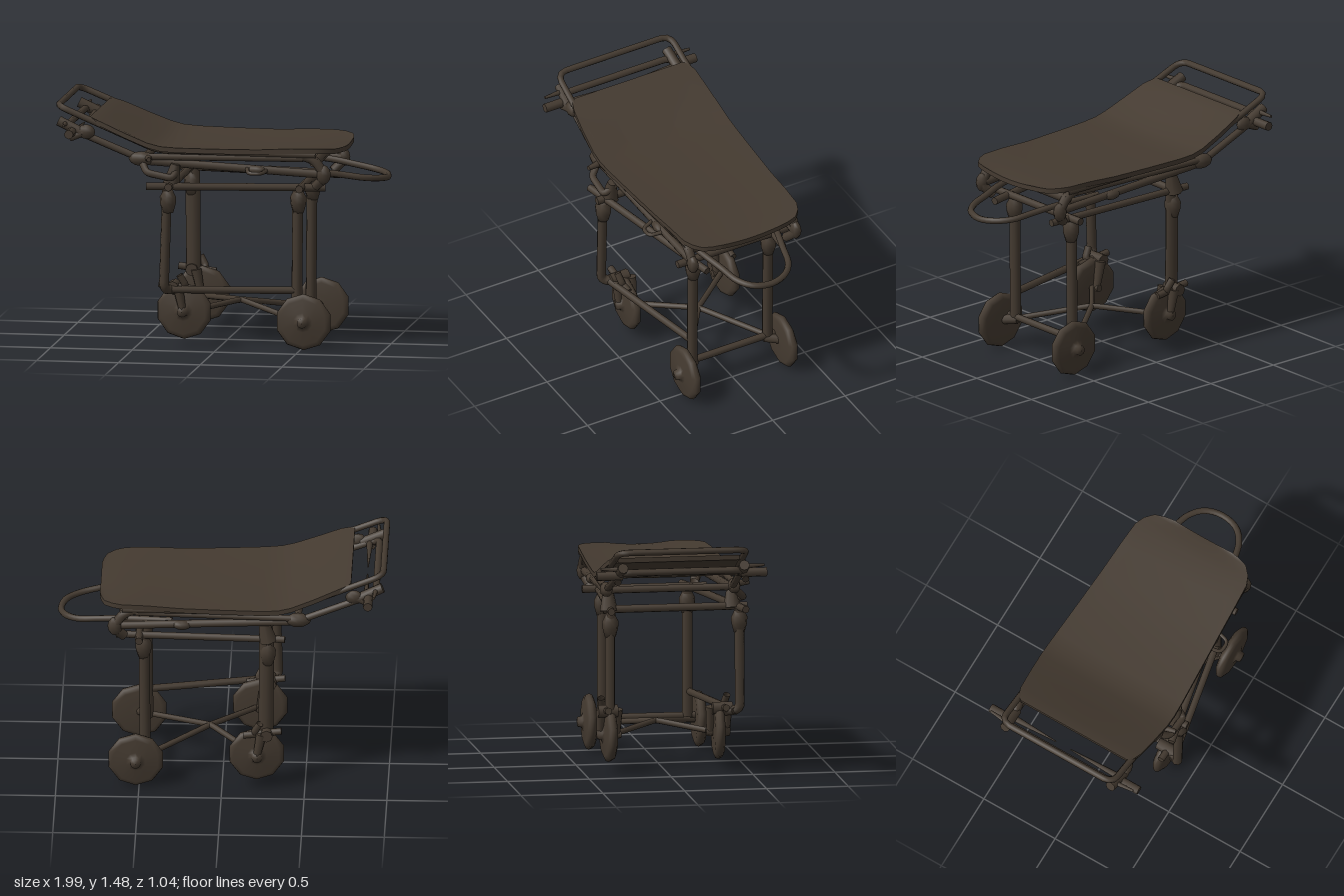
import * as THREE from 'three';

const brown = new THREE.MeshStandardMaterial({ color: 0x443a30, side: THREE.DoubleSide });
brown.name = 'dark brown';
const V = (p) => new THREE.Vector3(...p);

export function createModel() {
  const model = new THREE.Group();
  model.name = 'wheeledStretcher';

  const add = (name, geometry, pos = [0, 0, 0]) => {
    const mesh = new THREE.Mesh(geometry, brown);
    mesh.name = name;
    mesh.position.set(...pos);
    model.add(mesh);
    return mesh;
  };

  // Straight round bar between two points, optionally tapered
  const bar = (name, a, b, r, r2 = r) => {
    const from = V(a), to = V(b), dir = to.clone().sub(from);
    const mesh = add(name, new THREE.CylinderGeometry(r2, r, dir.length(), 8));
    mesh.position.copy(from).add(to).multiplyScalar(0.5);
    mesh.quaternion.setFromUnitVectors(new THREE.Vector3(0, 1, 0), dir.normalize());
    return mesh;
  };

  // Bent tube: straight runs with rounded corners
  const tube = (name, points, r, corner = 0.06, segments = 90) => {
    const p = points.map(V), path = new THREE.CurvePath();
    let last = p[0];
    for (let i = 1; i < p.length - 1; i++) {
      const toward = (q) => p[i].clone().add(q.clone().sub(p[i]).setLength(corner));
      const start = toward(p[i - 1]), end = toward(p[i + 1]);
      path.add(new THREE.LineCurve3(last, start));
      path.add(new THREE.QuadraticBezierCurve3(start, p[i], end));
      last = end;
    }
    path.add(new THREE.LineCurve3(last, p[p.length - 1]));
    return add(name, new THREE.TubeGeometry(path, segments, r, 8));
  };

  // Small rounded clamp
  const clamp = (name, pos, sx, sy, sz) => {
    const mesh = add(name, new THREE.SphereGeometry(1, 8, 6), pos);
    mesh.scale.set(sx, sy, sz);
    return mesh;
  };

  // Mattress stations: x, half width, top height
  const stations = [
    [-0.78, 0.37, 1.4], [-0.76, 0.4, 1.395], [-0.7, 0.42, 1.375], [-0.56, 0.435, 1.315],
    [-0.42, 0.445, 1.26], [-0.34, 0.445, 1.24], [-0.24, 0.44, 1.233], [0, 0.425, 1.23],
    [0.25, 0.41, 1.23], [0.45, 0.4, 1.24], [0.6, 0.39, 1.24], [0.66, 0.365, 1.238],
    [0.71, 0.32, 1.234], [0.73, 0.26, 1.232], [0.74, 0.2, 1.23],
  ];
  const n = stations.length - 1;
  const pad = new THREE.BoxGeometry(1, 1, 1, n, 1, 12);
  const pp = pad.attributes.position;
  for (let i = 0; i < pp.count; i++) {
    const [x, w, y] = stations[Math.round((pp.getX(i) + 0.5) * n)];
    const s = pp.getZ(i) * 2;
    // The head end stays level across, the middle sags a little
    const sag = 0.015 * (1 - s * s) * THREE.MathUtils.smoothstep(x, -0.75, -0.35);
    pp.setXYZ(i, x, y - sag - (pp.getY(i) > 0 ? 0 : 0.03), s * w);
  }
  pad.computeVertexNormals();
  add('mattress', pad);

  // Upper frame with raised head loop
  tube('headLoop', [
    [0.6, 1.2, 0.37], [-0.36, 1.21, 0.4], [-0.975, 1.465, 0.385],
    [-0.975, 1.465, -0.395], [-0.36, 1.21, -0.4], [0.6, 1.2, -0.37],
  ], 0.02, 0.07, 120);

  // Lower frame: head bar, side rails and foot loop
  tube('headBar', [
    [-0.46, 1.15, 0.38], [-0.93, 1.335, 0.36], [-0.93, 1.335, -0.38], [-0.46, 1.15, -0.39],
  ], 0.022);
  for (const s of [1, -1]) {
    bar('sideRail', [-0.5, 1.145, s * 0.385], [0.64, 1.08, s * 0.345], 0.025);
    bar('edgeRail', [-0.42, 1.17, s * 0.4], [0.52, 1.175, s * 0.36], 0.02);
    clamp('hingeClamp', [-0.46, 1.155, s * 0.39], 0.08, 0.045, 0.04);
    clamp('sideClamp', [0.24, 1.1, s * 0.37], 0.06, 0.03, 0.03);

    // Head handles with their thin locking rods
    bar('headHandle', [-0.885, 1.31, s * 0.36], [-0.885, 1.31, s * 0.52], 0.028);
    bar('handleGuard', [-0.93, 1.355, s * 0.36], [-0.92, 1.36, s * 0.5], 0.018, 0.008);
    bar('lockingRod', [-0.87, 1.31, s * 0.36], [-0.87, 1.31, s > 0 ? 0.03 : -0.07], 0.02, 0.004);
    bar('handleLink', [-0.97, 1.37, s * 0.37], [-0.82, 1.3, s * 0.38], 0.032);
    clamp('handleClamp', [-0.8, 1.31, s * 0.385], 0.055, 0.045, 0.03);
    bar('handleStrut', [-0.9, 1.27, s * 0.39], [-0.79, 1.315, s * 0.39], 0.022);

    // Foot bracket joining mattress frame and trolley
    tube('footBracket', [
      [0.48, 1.2, s * 0.35], [0.59, 1.17, s * 0.355], [0.66, 1.07, s * 0.355], [0.59, 1, s * 0.32],
    ], 0.03, 0.04, 24);
    clamp('footClamp', [0.645, 1.08, s * 0.355], 0.045, 0.06, 0.035);
  }
  const footPath = new THREE.CatmullRomCurve3([
    [0.3, 1.1, 0.31], [0.6, 1.08, 0.25], [0.74, 1.06, 0.21], [0.87, 1.04, 0.175], [0.95, 1.03, 0.11],
    [0.98, 1.022, 0],
    [0.95, 1.03, -0.11], [0.87, 1.04, -0.18], [0.74, 1.06, -0.215], [0.6, 1.08, -0.25], [0.3, 1.1, -0.31],
  ].map(V));
  add('footLoop', new THREE.TubeGeometry(footPath, 48, 0.02, 8));
  bar('upperCrossbar', [0.59, 1.155, 0.37], [0.59, 1.155, -0.37], 0.03);
  bar('middleCrossbar', [-0.46, 1.15, 0.38], [-0.46, 1.15, -0.38], 0.022);

  // Side lever and catch near the head hinge, and a small hook further down
  tube('sideLever', [[-0.46, 1.14, 0.39], [-0.42, 1.08, 0.455], [-0.26, 1.05, 0.46], [-0.24, 1.12, 0.38]], 0.022, 0.03, 24);
  bar('sideCatch', [-0.42, 1.16, 0.39], [-0.4, 1.165, 0.49], 0.024, 0.014);
  tube('sideHook', [[0.18, 1.11, 0.37], [0.2, 1.09, 0.45], [0.28, 1.09, 0.45], [0.3, 1.1, 0.37]], 0.012, 0.03, 20);

  // Trolley top frame
  bar('trolleyRail', [-0.42, 1.0, 0.47], [0.64, 0.985, 0.25], 0.023);
  bar('trolleyRail', [-0.38, 1.0, -0.345], [0.64, 0.985, -0.27], 0.023);
  bar('headCrossbar', [-0.28, 1.0, 0.5], [-0.28, 1.0, -0.38], 0.024);
  bar('footCrossbar', [0.5, 0.99, 0.38], [0.5, 0.99, -0.38], 0.024);
  for (const z of [0.41, -0.345]) {
    bar('headPivot', [-0.28, 0.99, z], [-0.25, 1.13, z], 0.055, 0.028);
  }

  // Legs with collars
  const collar = (x, y, z) => {
    const profile = [[0, -0.07], [0.033, -0.07], [0.048, -0.015], [0.05, 0.025], [0.034, 0.055], [0.03, 0.075], [0, 0.075]];
    add('legCollar', new THREE.LatheGeometry(profile.map((p) => new THREE.Vector2(...p)), 8), [x, y, z]);
  };
  for (const z of [0.257, -0.262]) {
    bar('footLeg', [0.465, 0.17, z], [0.472, 0.98, z], 0.033);
    collar(0.475, 0.9, z);
  }
  tube('headLeg', [[-0.295, 0.98, 0.45], [-0.315, 0.37, 0.45], [-0.23, 0.35, 0.32]], 0.03, 0.04, 40);
  bar('headLeg', [-0.265, 0.36, -0.335], [-0.27, 0.99, -0.335], 0.03).scale.x = 1.5;
  collar(-0.29, 0.91, 0.45);
  collar(-0.275, 0.9, -0.335);

  // Wheels: rounded tyre, dished disc and hub
  const wheelProfile = [[0, -0.035], [0.06, -0.03], [0.14, -0.03], [0.165, -0.018], [0.172, 0],
    [0.165, 0.018], [0.14, 0.03], [0.06, 0.036], [0.035, 0.045], [0.03, 0.07], [0, 0.075]];
  const wheelGeometry = new THREE.LatheGeometry(wheelProfile.map((p) => new THREE.Vector2(...p)), 10);
  const wheel = (x, y, s, turn) => {
    const mesh = add('wheel', wheelGeometry, [x, y, s * 0.335]);
    mesh.rotation.set(s * Math.PI / 2, 0, turn);
  };
  for (const s of [1, -1]) {
    wheel(0.52, 0.175, s, 0);
    bar('footAxle', [0.465, 0.19, s * 0.24], [0.525, 0.175, s * 0.34], 0.03);
    wheel(-0.21, 0.225, s, 0.05);

    // Caster fork, brake pedal and axle on the head wheels
    for (const d of [-0.05, 0.05]) {
      bar('casterFork', [-0.24, 0.38, s * 0.335 + d], [-0.205, 0.2, s * 0.335 + d], 0.032, 0.02);
    }
    bar('casterAxle', [-0.21, 0.22, s * 0.26], [-0.21, 0.22, s * 0.4], 0.022);
    bar('casterCrown', [-0.27, 0.375, s * 0.29], [-0.27, 0.375, s * 0.41], 0.038);
    tube('brakePedal', [[-0.25, 0.36, s * 0.34], [-0.19, 0.38, s * 0.37], [-0.23, 0.45, s * 0.385]], 0.022, 0.03, 16);
    bar('forkCap', [-0.36, 0.39, s * 0.36], [-0.13, 0.36, s * 0.36], 0.022);
  }

  // Lower rail, foot axle bar and crossed braces
  bar('lowerRail', [-0.32, 0.365, 0.42], [0.48, 0.355, 0.26], 0.022);
  bar('axleBar', [0.47, 0.205, 0.32], [0.47, 0.205, -0.32], 0.022);
  for (const s of [1, -1]) {
    tube('crossBrace', [[-0.21, 0.215, s * 0.33], [0.08, 0.25, 0], [0.48, 0.175, -s * 0.3]], 0.018, 0.04, 30);
  }
  return model;
}
